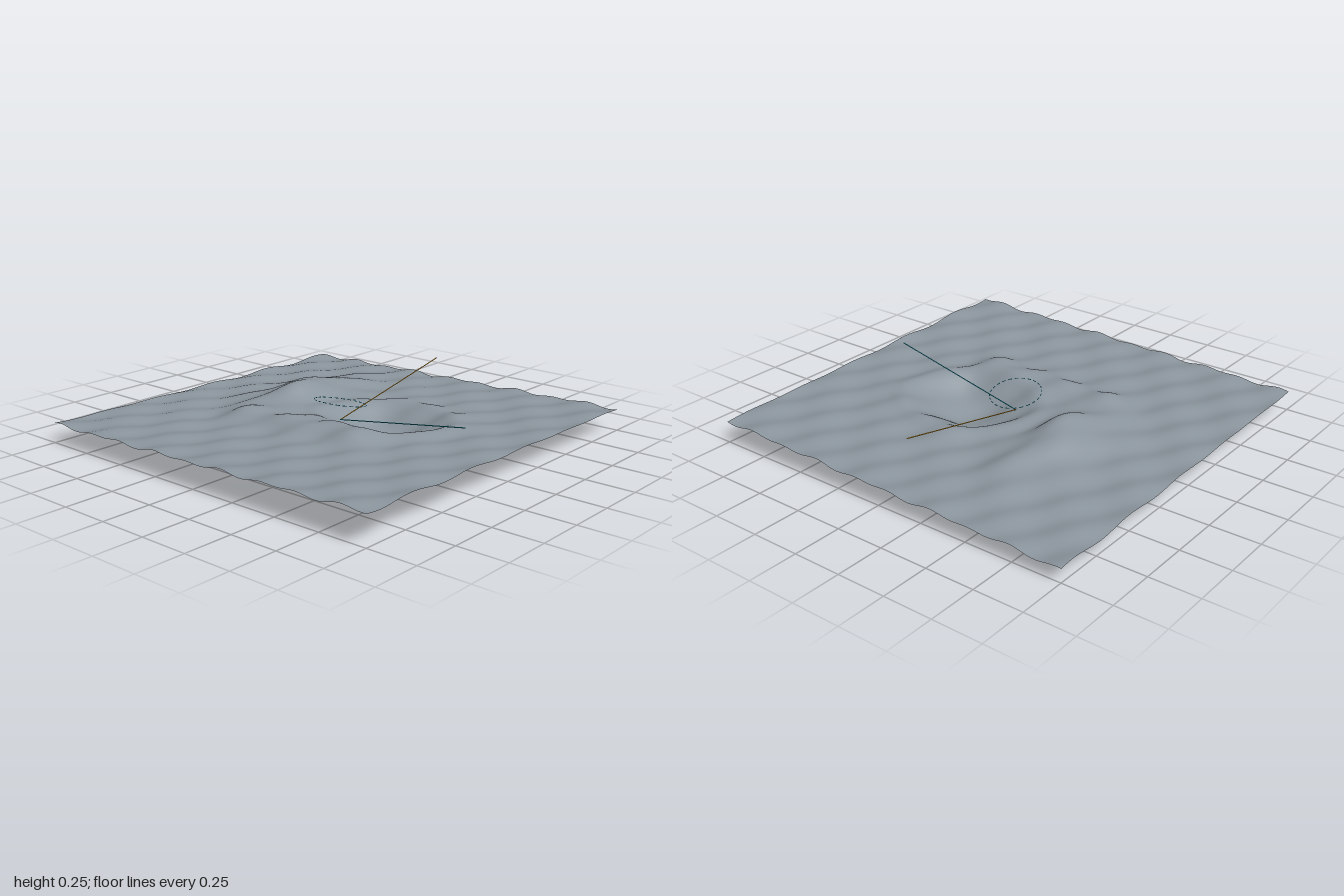
import * as THREE from 'three';

// Height of the ground at a point
function groundHeight(x, z) {
  const bell = (d, w) => Math.exp(-((d / w) ** 2));
  const ramp = (a, b, v) => THREE.MathUtils.smoothstep(v, a, b);

  // Gentle tilt and two crossing sets of ripples
  let y = 0.094 + 0.025 * x + 0.0175 * z;
  y += 0.0055 * Math.sin(28 * (x + 0.55 * z)) + 0.0045 * Math.sin(17 * (x - 0.8 * z));

  // Crater with a low raised rim
  const q = Math.hypot((x - 0.21) / 0.23, (z + 0.09) / 0.2);
  y += -0.1 * Math.exp(-(q ** 3)) + 0.02 * bell(q - 1.55, 0.3);

  // Long mound on the right, steeper towards the middle
  y += 0.1 * bell(x + 0.38, x < -0.38 ? 0.18 : 0.13) * bell(z + 0.12, z > -0.12 ? 0.26 : 0.4);

  // Low ridge across the front
  y += 0.045 * bell(z - 0.3, z > 0.3 ? 0.09 : 0.13) * ramp(-0.55, -0.33, x) * (1 - ramp(0.33, 0.55, x));
  return y;
}

export function createModel() {
  const model = new THREE.Group();
  model.name = 'terrainPatch';
  const material = (name, color) => new THREE.MeshStandardMaterial({ name, color });
  const grey = material('stone grey', 0x8a949c);
  grey.side = THREE.DoubleSide;
  const cyan = material('cyan', 0x20b4d0);
  const amber = material('amber', 0xe0a020);

  const add = (name, geometry, mat, parent = model) => {
    const mesh = new THREE.Mesh(geometry, mat);
    mesh.name = name;
    parent.add(mesh);
    return mesh;
  };

  // Ground sheet
  const ground = new THREE.PlaneGeometry(2, 2, 160, 160).rotateX(-Math.PI / 2);
  const p = ground.attributes.position;
  let lowest = Infinity;
  for (let i = 0; i < p.count; i++) {
    p.setY(i, groundHeight(p.getX(i), p.getZ(i)));
    lowest = Math.min(lowest, p.getY(i));
  }
  ground.translate(0, -lowest, 0);
  ground.computeVertexNormals();
  add('ground', ground, grey);

  // Two thin pointer lines leaving the centre
  const start = new THREE.Vector3(0, 0.088, 0);
  const pointer = (name, end, mat) =>
    add(name, new THREE.TubeGeometry(new THREE.LineCurve3(start, end), 1, 0.0025, 6), mat);
  pointer('sidePointer', new THREE.Vector3(0.8, 0.225, 0.057), cyan);
  pointer('backPointer', new THREE.Vector3(0, 0.252, -0.8), amber);

  // Tilted dashed ring floating above the centre
  const ring = new THREE.Group();
  ring.name = 'dashedRing';
  const dashes = 24;
  for (let i = 0; i < dashes; i++) {
    const arc = (Math.PI * 2 / dashes) * 0.6;
    const dash = new THREE.TorusGeometry(0.131, 0.002, 5, 4, arc);
    add('ringDash', dash, cyan, ring).rotation.z = (i / dashes) * Math.PI * 2;
  }
  ring.position.y = 0.18;
  ring.rotation.x = -Math.PI / 2 - 0.2;
  model.add(ring);

  return model;
}
